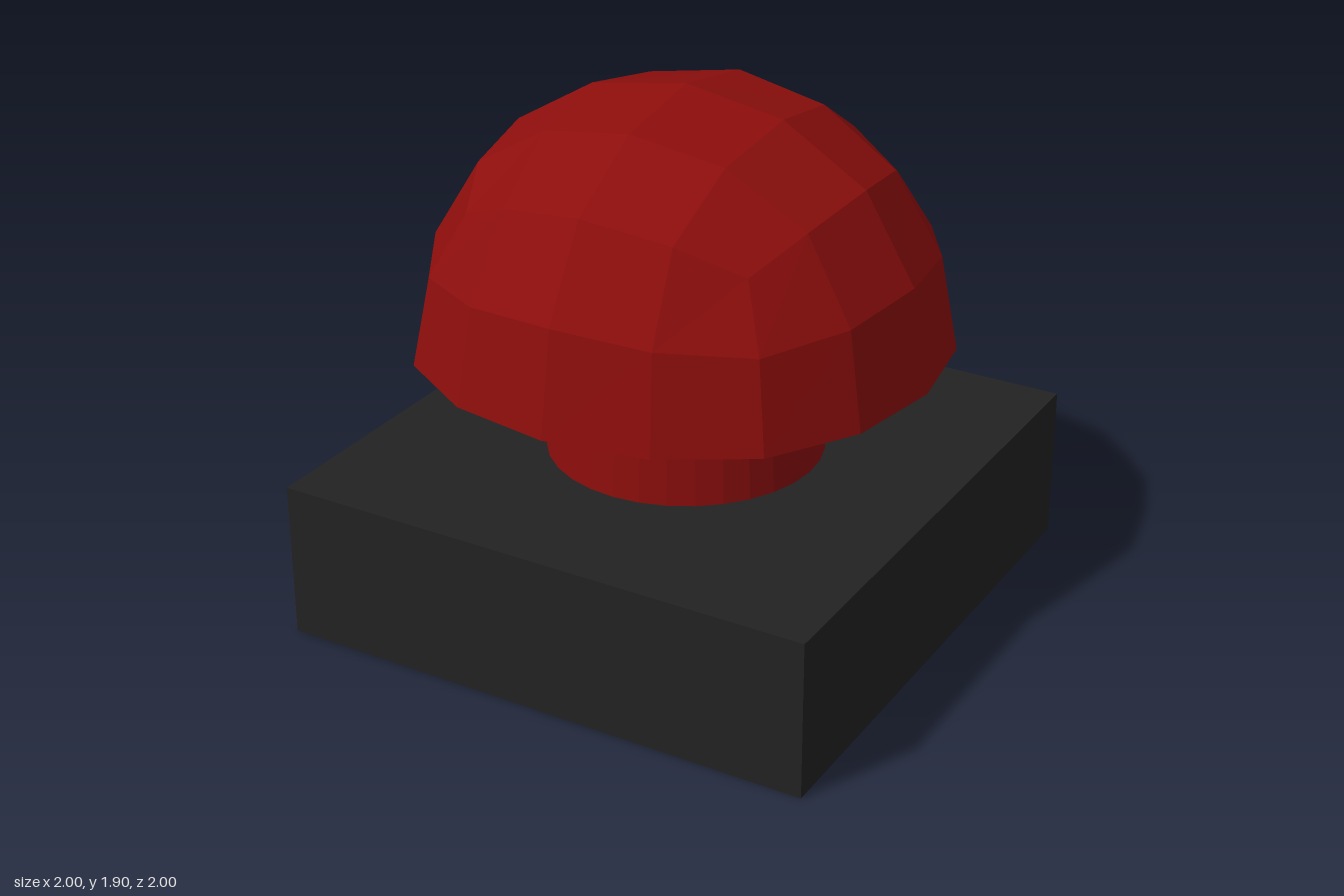
import * as THREE from 'three';

// Twice-subdivided cube: where a grid point with these |steps| (sorted) lands,
// given as the coordinate for each step count.
const ROUNDED = {
  '200': { 2: 0.8785 },
  '210': { 2: 0.8195, 1: 0.3505 },
  '211': { 2: 0.764, 1: 0.326 },
  '220': { 2: 0.643 },
  '221': { 2: 0.599, 1: 0.302 },
  '222': { 2: 0.509 },
};
const FLAT = { 1: 0.35 }; // inner points of the flat underside

// Upper half of the rounded cube, closed below by a flat underside
function domeGeometry(radius) {
  const geometry = new THREE.BoxGeometry(4, 2, 4, 4, 2, 4).translate(0, 1, 0);
  const pos = geometry.attributes.position;
  const scale = radius / ROUNDED['200'][2];
  for (let i = 0; i < pos.count; i++) {
    const steps = [pos.getX(i), pos.getY(i), pos.getZ(i)].map(Math.round);
    const key = steps.map(Math.abs).sort((a, b) => b - a).join('');
    const table = ROUNDED[key] || FLAT;
    const p = steps.map((s) => Math.sign(s) * (table[Math.abs(s)] || 0) * scale);
    pos.setXYZ(i, ...p);
  }
  geometry.computeVertexNormals();
  return geometry;
}

export function createModel() {
  const model = new THREE.Group();
  const red = new THREE.MeshStandardMaterial({ color: 0x8c0e0c, flatShading: true });
  const black = new THREE.MeshStandardMaterial({ color: 0x222222, flatShading: true });

  const add = (name, geometry, material, y) => {
    const mesh = new THREE.Mesh(geometry, material);
    mesh.name = name;
    mesh.position.y = y;
    model.add(mesh);
  };

  // Square base block
  add('base', new THREE.BoxGeometry(2, 0.57, 2), black, 0.285);

  // Slightly tapered stem between base and dome
  add('stem', new THREE.CylinderGeometry(0.47, 0.495, 0.42, 32), red, 0.775);

  // Large push-button dome
  add('buttonDome', domeGeometry(0.925), red, 0.978);

  return model;
}
